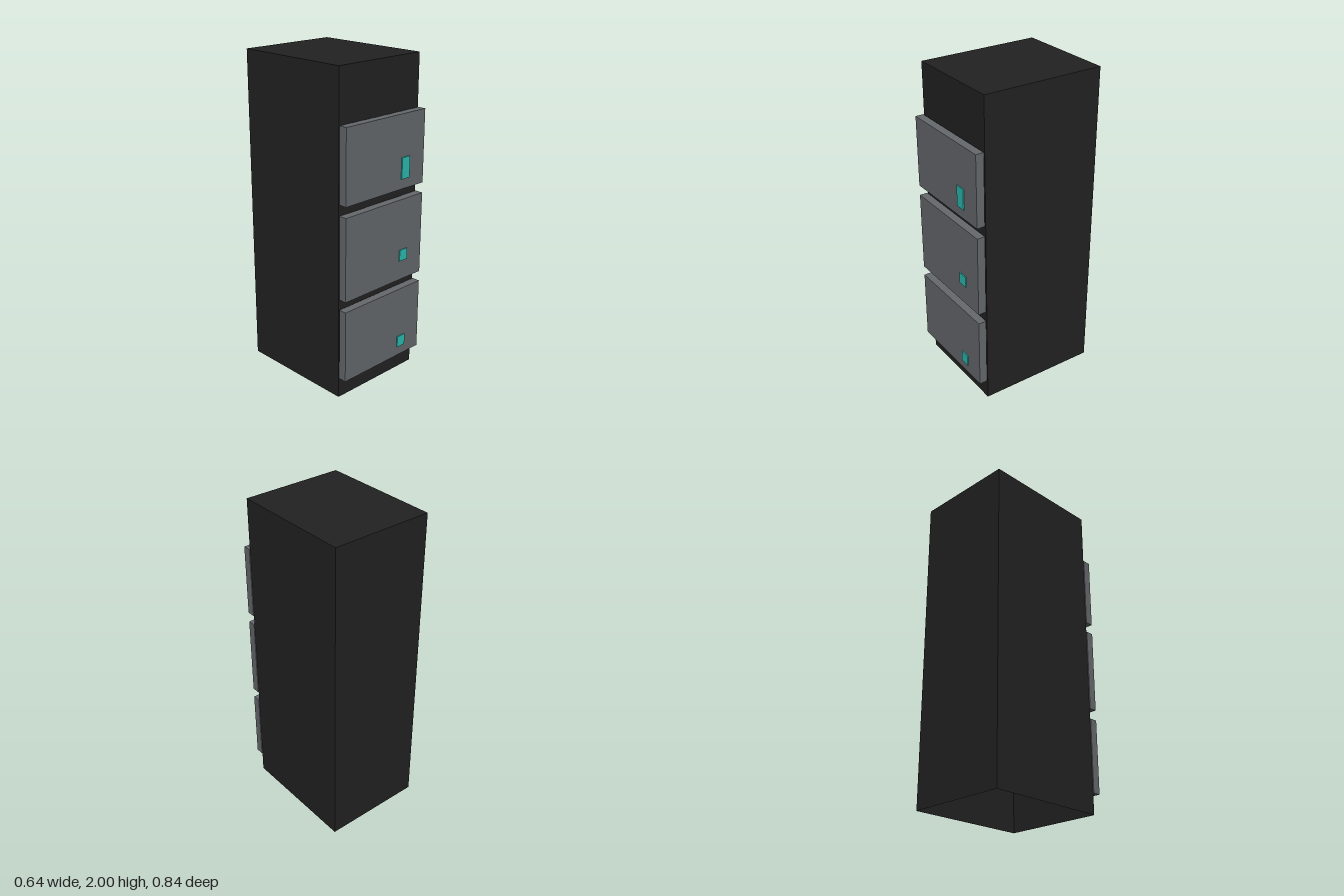
import * as THREE from 'three';

const bodyMat = new THREE.MeshStandardMaterial({ name: 'black casing', color: 0x222222, side: THREE.DoubleSide });
const panelMat = new THREE.MeshStandardMaterial({ name: 'grey panel', color: 0x66696d });
const handleMat = new THREE.MeshStandardMaterial({ name: 'teal handle', color: 0x2cbcb2 });

// Box given by its lower and upper limits on each axis
function block(name, material, [x0, x1], [y0, y1], [z0, z1]) {
  const mesh = new THREE.Mesh(new THREE.BoxGeometry(x1 - x0, y1 - y0, z1 - z0), material);
  mesh.position.set((x0 + x1) / 2, (y0 + y1) / 2, (z0 + z1) / 2);
  mesh.name = name;
  return mesh;
}

export function createModel() {
  const model = new THREE.Group();
  model.name = 'drawerCabinet';

  // Casing: a thin shell, open underneath
  const casing = block('casing', bodyMat, [-0.321, 0.321], [0, 2], [-0.418, 0.354]);
  const index = Array.from(casing.geometry.index.array);
  index.splice(18, 6); // drop the bottom face
  casing.geometry.setIndex(index);
  casing.geometry.clearGroups();
  model.add(casing);

  // Drawer fronts, each with a handle that reaches back to the casing
  const drawers = [
    { name: 'lowerDrawer', panel: [0.13, 0.585], handle: [0.19, 0.262] },
    { name: 'middleDrawer', panel: [0.65, 1.165], handle: [0.775, 0.845] },
    { name: 'upperDrawer', panel: [1.23, 1.68], handle: [1.292, 1.422] },
  ];
  for (const d of drawers) {
    const drawer = new THREE.Group();
    drawer.name = d.name;
    drawer.add(block('drawerFront', panelMat, [-0.321, 0.321], d.panel, [0.36, 0.411]));
    drawer.add(block('handle', handleMat, [0.127, 0.193], d.handle, [0.354, 0.418]));
    model.add(drawer);
  }
  return model;
}
